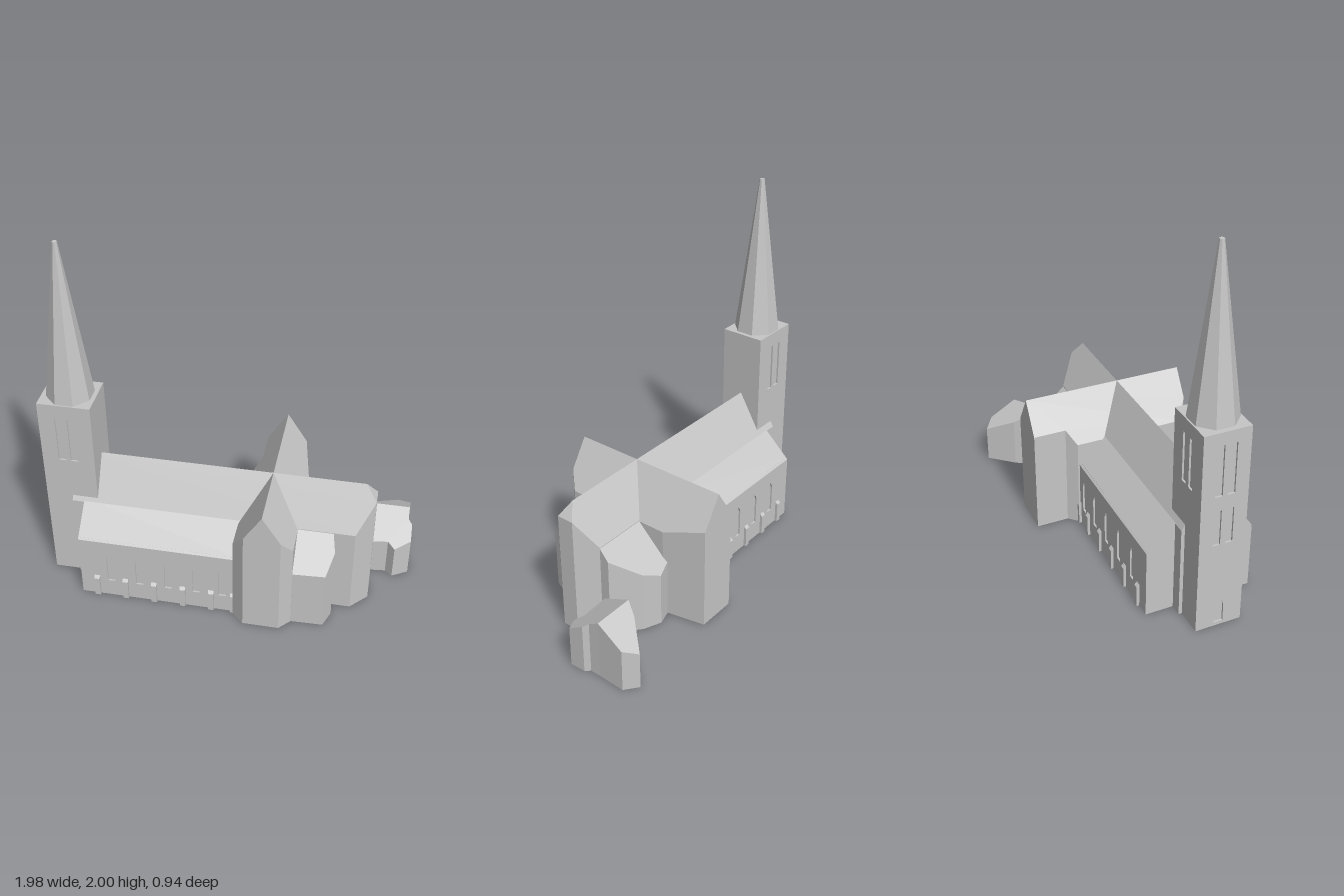
import * as THREE from 'three';

const stone = new THREE.MeshStandardMaterial({ color: 0xc6c6c6 });
stone.name = 'pale grey stone';

const ZC = 0.098; // z of the main ridge
const XC = 0.23;  // x of the transept ridge

function add(parent, name, geometry) {
  const flat = geometry.index ? geometry.toNonIndexed() : geometry;
  flat.computeVertexNormals();
  const mesh = new THREE.Mesh(flat, stone);
  mesh.name = name;
  parent.add(mesh);
  return mesh;
}

// Solid standing on the ground: plan given as [x, z], top height given by roof(x, z)
function block(parent, name, plan, roof) {
  const shape = new THREE.Shape(plan.map(([x, z]) => new THREE.Vector2(x, -z)));
  const g = new THREE.ExtrudeGeometry(shape, { depth: 1, bevelEnabled: false });
  g.rotateX(-Math.PI / 2);
  const p = g.attributes.position;
  for (let i = 0; i < p.count; i++) {
    p.setY(i, p.getY(i) > 0.5 ? roof(p.getX(i), p.getZ(i)) : 0);
  }
  return add(parent, name, g);
}

// Thin wall skin with openings; opening = [centre, bottom, width, top, pointed]
function wall(parent, name, x0, x1, height, openings, depth) {
  const shape = new THREE.Shape([[x0, 0], [x1, 0], [x1, height], [x0, height]].map(a => new THREE.Vector2(...a)));
  for (const [c, b, w, t, pointed] of openings) {
    const h = w / 2;
    const pts = pointed
      ? [[c - h, b], [c - h, t - 0.035], [c - h * 0.6, t - 0.012], [c, t], [c + h * 0.6, t - 0.012], [c + h, t - 0.035], [c + h, b]]
      : [[c - h, b], [c - h, t], [c + h, t], [c + h, b]];
    shape.holes.push(new THREE.Path(pts.map(a => new THREE.Vector2(...a))));
  }
  return add(parent, name, new THREE.ExtrudeGeometry(shape, { depth, bevelEnabled: false }));
}

function buildTower(parent) {
  const tower = new THREE.Group();
  tower.name = 'tower';
  tower.position.set(-0.8475, 0, 0.1);
  parent.add(tower);
  const W = 0.285, D = 0.25, H = 1.13, T = 0.01;
  const core = new THREE.BoxGeometry(W - 2 * T, H, D - 2 * T);
  core.translate(0, H / 2, 0);
  add(tower, 'towerCore', core);
  const pair = (b, t) => [-0.033, 0.033].map(c => [c, b, 0.04, t, false]);
  const sides = [
    ['towerFrontWall', W, D, 0, pair(0.78, 1.05)],
    ['towerBackWall', W, D, Math.PI, pair(0.78, 1.05)],
    ['towerEastWall', D - 2 * T, W, Math.PI / 2, []],
    ['towerWestWall', D - 2 * T, W, -Math.PI / 2, [...pair(0.78, 1.06), ...pair(0.5, 0.7), [0, 0.02, 0.05, 0.16, true]]],
  ];
  for (const [name, w, across, turn, openings] of sides) {
    const skin = wall(tower, name, -w / 2, w / 2, H, openings, T);
    skin.geometry.translate(0, 0, across / 2 - T);
    skin.rotation.y = turn;
  }
  // Eight-sided spire with flats facing the tower sides
  const k = 1 / Math.cos(Math.PI / 8);
  const spire = new THREE.CylinderGeometry(0.012 * k, 0.117 * k, 0.87, 8);
  spire.rotateY(Math.PI / 8);
  spire.translate(0.0025, H + 0.435, 0);
  add(tower, 'spire', spire);
}

function buildNave(parent) {
  const roof = (x, z) => 0.76 - 1.7 * Math.abs(z - ZC);
  const aisleRoof = (x, z) => 0.52 - 0.92 * (Math.abs(z - ZC) - 0.142);
  for (const s of [1, -1]) {
    const z = d => ZC + s * d;
    const side = s > 0 ? 'front' : 'back';
    // Tall central vessel, ending in the angled apse
    block(parent, side + 'NaveHalf', [[-0.845, ZC], [-0.845, z(0.142)], [0.69, z(0.142)],
      [0.78, z(0.047)], [0.72, ZC]], roof);
    // Lower aisle with a pierced outer skin
    block(parent, side + 'Aisle', [[-0.78, z(0.13)], [-0.78, z(0.284)], [0.1, z(0.284)], [0.1, z(0.13)]], aisleRoof);
    const windows = [-0.61, -0.45, -0.29, -0.135, 0.01].map(x => [s * x, 0.105, 0.04, 0.297, true]);
    const xs = [-0.78 * s, 0.08 * s].sort((a, b) => a - b);
    const skin = wall(parent, side + 'AisleWall', xs[0], xs[1], 0.379, windows, 0.01);
    const p = skin.geometry.attributes.position;
    for (let i = 0; i < p.count; i++) {
      if (p.getY(i) > 0.37 && p.getZ(i) < 0.005) p.setY(i, 0.389);
    }
    skin.geometry.computeVertexNormals();
    skin.position.z = z(0.284);
    skin.rotation.y = s > 0 ? 0 : Math.PI;
    // Small buttresses with sloping tops
    for (const x of [-0.69, -0.53, -0.37, -0.21, -0.052, 0.07]) {
      block(parent, side + 'Buttress', [[x - 0.015, z(0.29)], [x + 0.015, z(0.29)], [x + 0.015, z(0.309)], [x - 0.015, z(0.309)]],
        (bx, bz) => Math.abs(bz - ZC) > 0.3 ? 0.118 : 0.137);
    }
  }
  // Clipped hip at the apse end
  block(parent, 'apseEnd', [[0.72, ZC], [0.78, ZC + 0.047], [0.78, ZC - 0.047]],
    x => 0.76 - (x - 0.72) * 0.0799 / 0.06);
}

function buildTransept(parent) {
  const roof = x => 0.76 - 1.57 * Math.abs(x - XC);
  block(parent, 'westTranseptHalf', [[XC, 0.47], [0.135, 0.47], [0.07, 0.41], [0.07, -0.205],
    [0.12, -0.255], [0.12, -0.435], [XC, -0.435]], roof);
  block(parent, 'eastTranseptHalf', [[XC, 0.47], [0.33, 0.47], [0.387, 0.41], [0.387, -0.2],
    [0.34, -0.435], [XC, -0.435]], roof);
}

function buildChapels(parent) {
  block(parent, 'frontChapel', [[0.37, 0.235], [0.575, 0.235], [0.595, 0.31], [0.56, 0.402], [0.37, 0.408]],
    (x, z) => 0.515 - (z - 0.24));
  block(parent, 'backChapel', [[0.37, -0.04], [0.37, -0.222], [0.465, -0.25], [0.56, -0.21], [0.695, -0.1], [0.69, -0.04]],
    (x, z) => 0.515 + (z + 0.043));
}

function buildAnnex(parent) {
  const roof = (x, z) => 0.333 - 0.61 * Math.abs(z + 0.265);
  block(parent, 'annexFrontHalf', [[0.735, -0.265], [0.69, -0.062], [0.86, -0.08], [0.9, -0.045],
    [0.985, -0.095], [0.982, -0.18], [0.96, -0.205], [0.96, -0.265]], roof);
  block(parent, 'annexBackHalf', [[0.735, -0.265], [0.775, -0.335], [0.895, -0.47], [0.965, -0.415], [0.96, -0.265]], roof);
}

export function createModel() {
  const church = new THREE.Group();
  church.name = 'church';
  for (const build of [buildTower, buildNave, buildTransept, buildChapels, buildAnnex]) build(church);
  return church;
}
